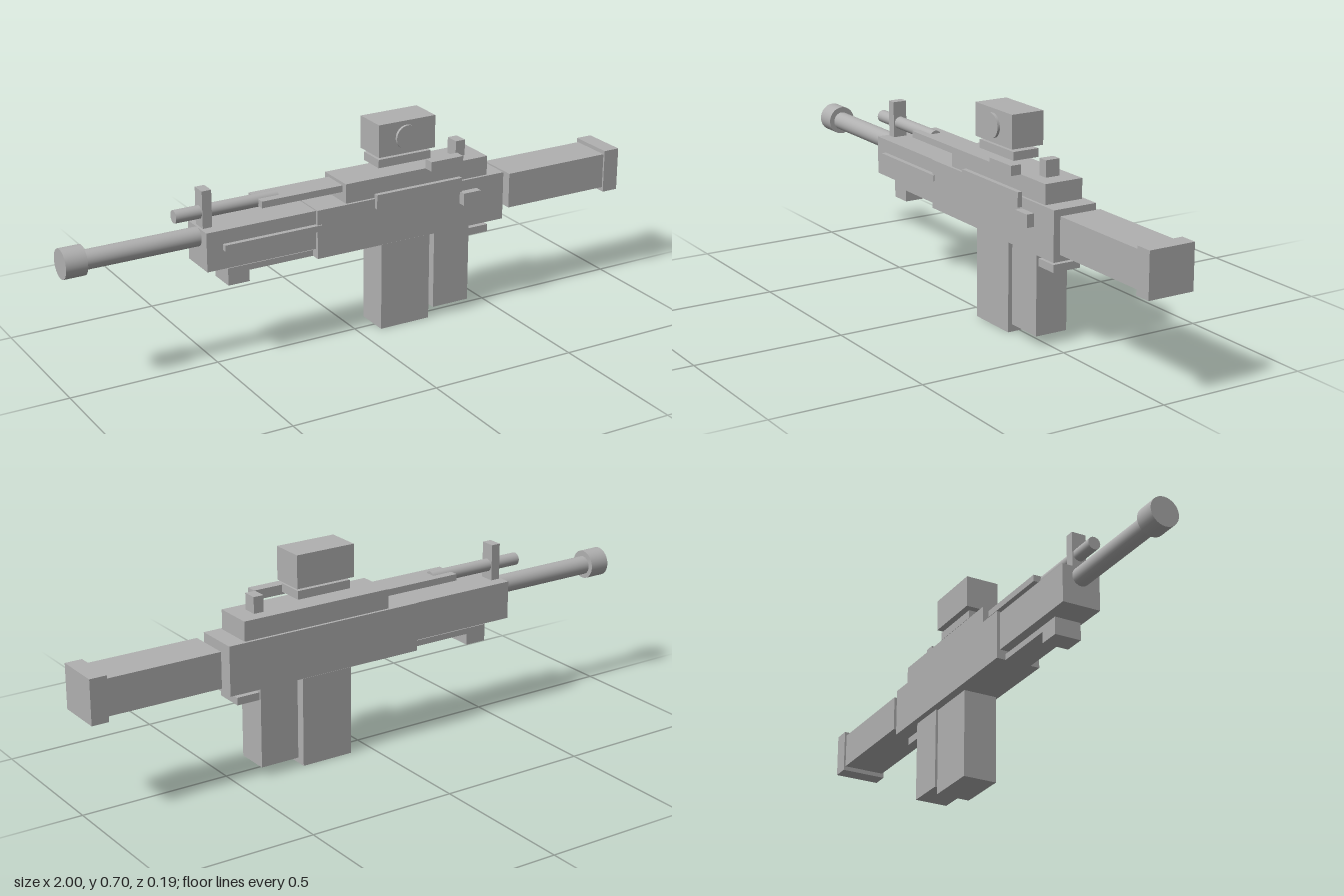
import * as THREE from 'three';

export function createModel() {
  const model = new THREE.Group();
  const grey = new THREE.MeshStandardMaterial({ color: 0xb0b0b0 });
  grey.name = 'plain grey';
  const midZ = -0.0145; // centre plane of the body

  const add = (name, geometry, x, y, z) => {
    const mesh = new THREE.Mesh(geometry, grey);
    mesh.name = name;
    mesh.position.set(x, y, z);
    model.add(mesh);
    return mesh;
  };

  // Box given by its limits on each axis
  const box = (name, [x0, x1], [y0, y1], [z0, z1]) =>
    add(name, new THREE.BoxGeometry(x1 - x0, y1 - y0, z1 - z0),
      (x0 + x1) / 2, (y0 + y1) / 2, (z0 + z1) / 2);

  // Box centred on the body's middle plane
  const midBox = (name, xs, ys, width) =>
    box(name, xs, ys, [midZ - width / 2, midZ + width / 2]);

  // Round bar lying along x
  const bar = (name, [x0, x1], y, radius) => {
    const geometry = new THREE.CylinderGeometry(radius, radius, x1 - x0, 32);
    geometry.rotateZ(Math.PI / 2);
    return add(name, geometry, (x0 + x1) / 2, y, midZ);
  };

  // Main body
  midBox('receiver', [-0.17, 0.53], [0.306, 0.469], 0.153);
  midBox('upperCover', [-0.062, 0.47], [0.469, 0.534], 0.134);
  midBox('handguard', [-0.55, -0.17], [0.337, 0.465], 0.13);

  // Stock
  midBox('stock', [0.557, 0.945], [0.338, 0.457], 0.145);
  midBox('buttPad', [0.943, 1.0], [0.323, 0.47], 0.158);

  // Barrel and upper tube
  bar('barrel', [-0.935, -0.55], 0.434, 0.031);
  bar('muzzle', [-1.0, -0.93], 0.436, 0.048);
  bar('upperTube', [-0.628, -0.275], 0.513, 0.021);
  midBox('topRail', [-0.348, -0.062], [0.502, 0.524], 0.092);

  // Sights
  midBox('frontSight', [-0.542, -0.51], [0.465, 0.587], 0.049);
  midBox('rearSight', [0.375, 0.41], [0.534, 0.588], 0.049);

  // Scope with a round dial on its front side
  midBox('scopeMount', [0.07, 0.264], [0.557, 0.585], 0.092);
  midBox('scope', [0.064, 0.273], [0.596, 0.705], 0.115);
  const dial = new THREE.CylinderGeometry(0.04, 0.04, 0.01, 32);
  dial.rotateX(Math.PI / 2);
  add('scopeDial', dial, 0.165, 0.651, 0.047);

  // Magazine, grip and trigger
  midBox('magazine', [0.075, 0.257], [0, 0.297], 0.116);
  midBox('grip', [0.276, 0.411], [0.033, 0.307], 0.113);
  midBox('trigger', [0.411, 0.49], [0.259, 0.284], 0.098);

  // Foregrip under the handguard
  midBox('foregrip', [-0.47, -0.396], [0.268, 0.326], 0.09);
  midBox('foregripRail', [-0.396, -0.15], [0.306, 0.326], 0.09);

  // Fittings on the front side
  box('sidePlate', [0.038, 0.358], [0.438, 0.486], [0.061, 0.077]);
  box('sideButton', [0.36, 0.425], [0.392, 0.434], [0.062, 0.088]);
  box('sideBlock', [0.228, 0.348], [0.537, 0.569], [0.059, 0.096]);
  box('handguardStrip', [-0.495, -0.155], [0.4, 0.42], [0.05, 0.067]);

  return model;
}
